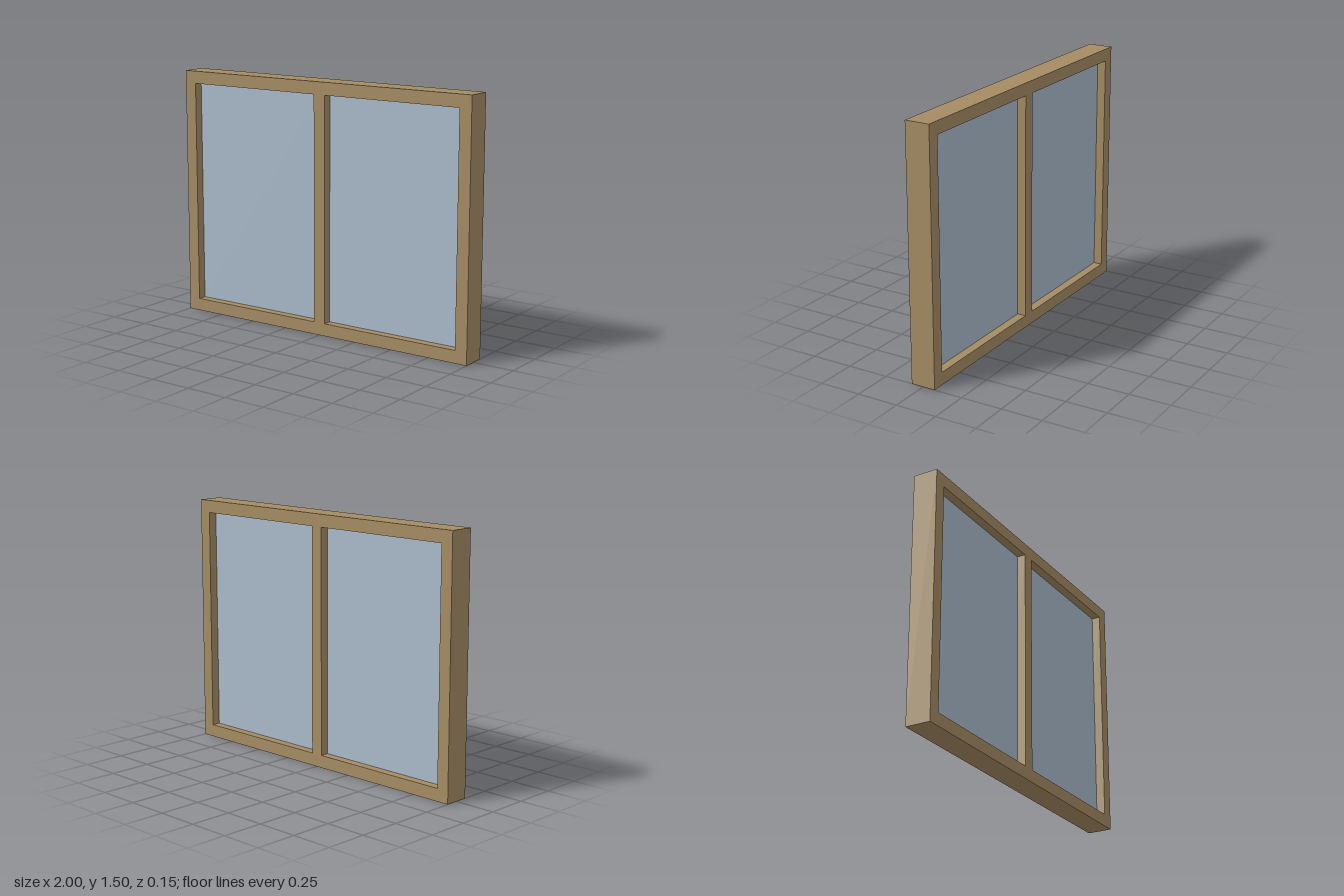
import * as THREE from 'three';

const W = 2, H = 1.5, DEPTH = 0.15, BORDER = 0.075, GLASS = 0.044;

export function createModel() {
  const wood = new THREE.MeshStandardMaterial({ color: 0xa58c63 });
  wood.name = 'wood';
  const glass = new THREE.MeshStandardMaterial({ color: 0xaabaca });
  glass.name = 'glass';

  const model = new THREE.Group();
  model.name = 'window';

  const paneW = W / 2 - BORDER * 1.5;
  const paneH = H - BORDER * 2;
  const paneX = BORDER / 2 + paneW / 2;

  // Frame and central mullion in one piece, with two rectangular openings
  const outline = new THREE.Shape([
    new THREE.Vector2(-W / 2, 0), new THREE.Vector2(W / 2, 0),
    new THREE.Vector2(W / 2, H), new THREE.Vector2(-W / 2, H),
  ]);
  for (const side of [-1, 1]) {
    const l = side * paneX - paneW / 2, r = l + paneW;
    outline.holes.push(new THREE.Path([
      new THREE.Vector2(l, BORDER), new THREE.Vector2(l, H - BORDER),
      new THREE.Vector2(r, H - BORDER), new THREE.Vector2(r, BORDER),
    ]));
  }
  const frameGeometry = new THREE.ExtrudeGeometry(outline, { depth: DEPTH, bevelEnabled: false });
  frameGeometry.translate(0, 0, -DEPTH / 2);
  const frame = new THREE.Mesh(frameGeometry, wood);
  frame.name = 'frame';
  model.add(frame);

  // Glass panes, recessed equally from front and back
  for (const side of [-1, 1]) {
    const pane = new THREE.Mesh(new THREE.BoxGeometry(paneW, paneH, GLASS), glass);
    pane.name = side > 0 ? 'leftPane' : 'rightPane';
    pane.position.set(side * paneX, H / 2, 0);
    model.add(pane);
  }
  return model;
}
